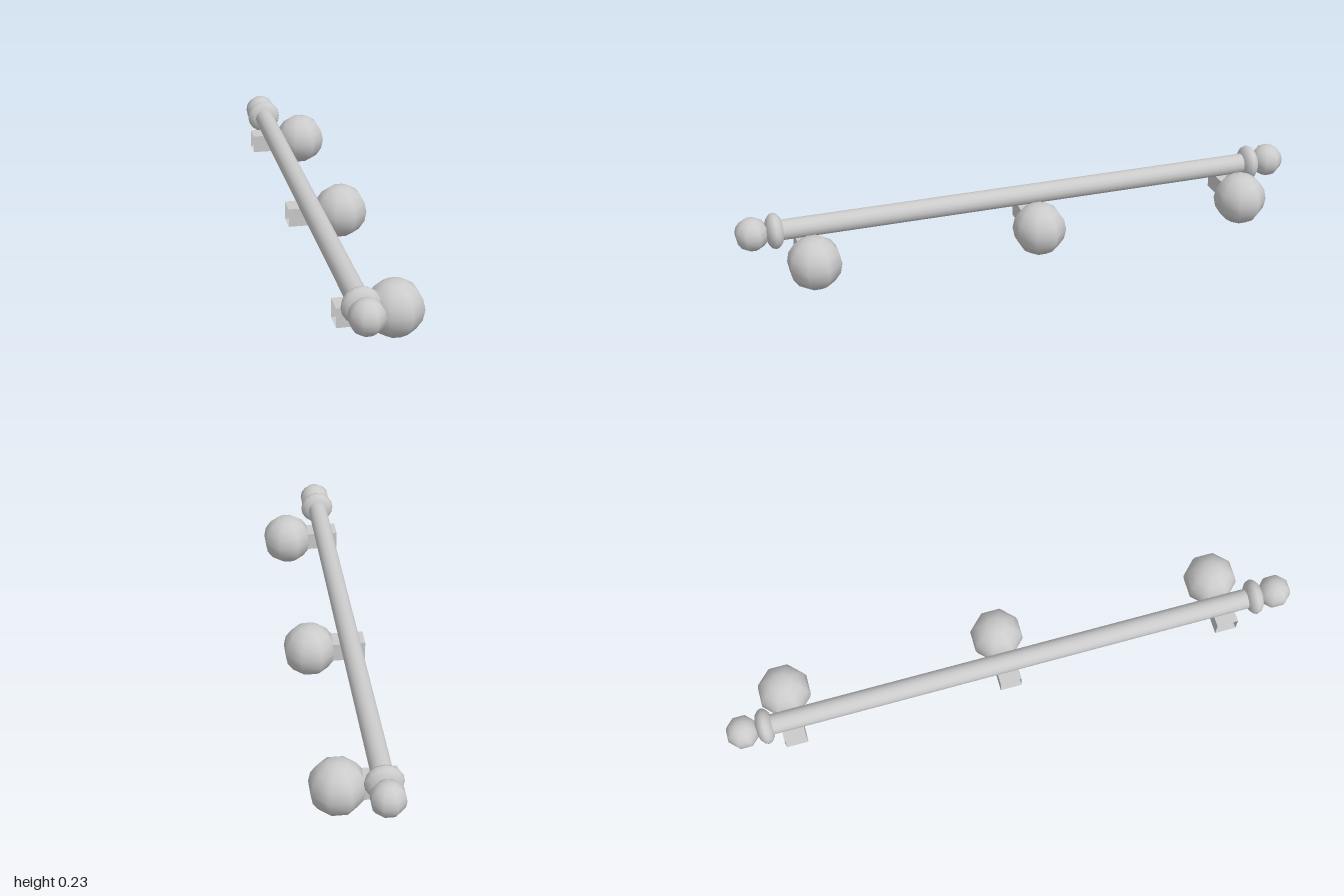
import * as THREE from 'three';

const grey = new THREE.MeshStandardMaterial({ color: 0xcccccc });
const flatOpen = new THREE.MeshStandardMaterial({ color: 0xcccccc, flatShading: true, side: THREE.DoubleSide });

const ROD_X = -0.078;
const ROD_Y = 0.165;

function addMesh(parent, name, geometry, x, y, z, material = grey) {
  const mesh = new THREE.Mesh(geometry, material);
  mesh.name = name;
  mesh.position.set(x, y, z);
  parent.add(mesh);
  return mesh;
}

// Coarse ball with eight sides, flats facing the x and z axes
function ball(radius) {
  return new THREE.SphereGeometry(radius, 8, 8).rotateY(Math.PI / 8);
}

export function createModel() {
  const model = new THREE.Group();
  model.name = 'railWithHooks';

  // Long round rail running front to back
  const rail = new THREE.CylinderGeometry(0.035, 0.035, 1.74, 16).rotateX(Math.PI / 2);
  addMesh(model, 'rail', rail, ROD_X, ROD_Y, 0);

  // Flattened collar and ball finial at each end
  const collar = new THREE.SphereGeometry(0.062, 16, 8).rotateX(Math.PI / 2).scale(1, 1, 0.53);
  const finial = ball(0.058);
  for (const [side, sign] of [['front', 1], ['back', -1]]) {
    addMesh(model, side + 'Collar', collar, ROD_X, ROD_Y, sign * 0.87);
    addMesh(model, side + 'Finial', finial, ROD_X, ROD_Y, sign * 0.946);
  }

  // Square open-ended arms, each carrying a large knob
  const arm = new THREE.CylinderGeometry(Math.SQRT1_2, Math.SQRT1_2, 1, 4, 1, true, Math.PI / 4)
    .rotateZ(Math.PI / 2).scale(0.128, 0.065, 0.075);
  const knob = ball(0.093);
  [['front', 0.763], ['middle', -0.022], ['back', -0.783]].forEach(([place, z]) => {
    const hook = new THREE.Group();
    hook.name = place + 'Hook';
    hook.position.z = z;
    addMesh(hook, 'arm', arm, -0.074, 0.0945, 0, flatOpen);
    addMesh(hook, 'knob', knob, 0.052, 0.094, 0);
    model.add(hook);
  });

  return model;
}
